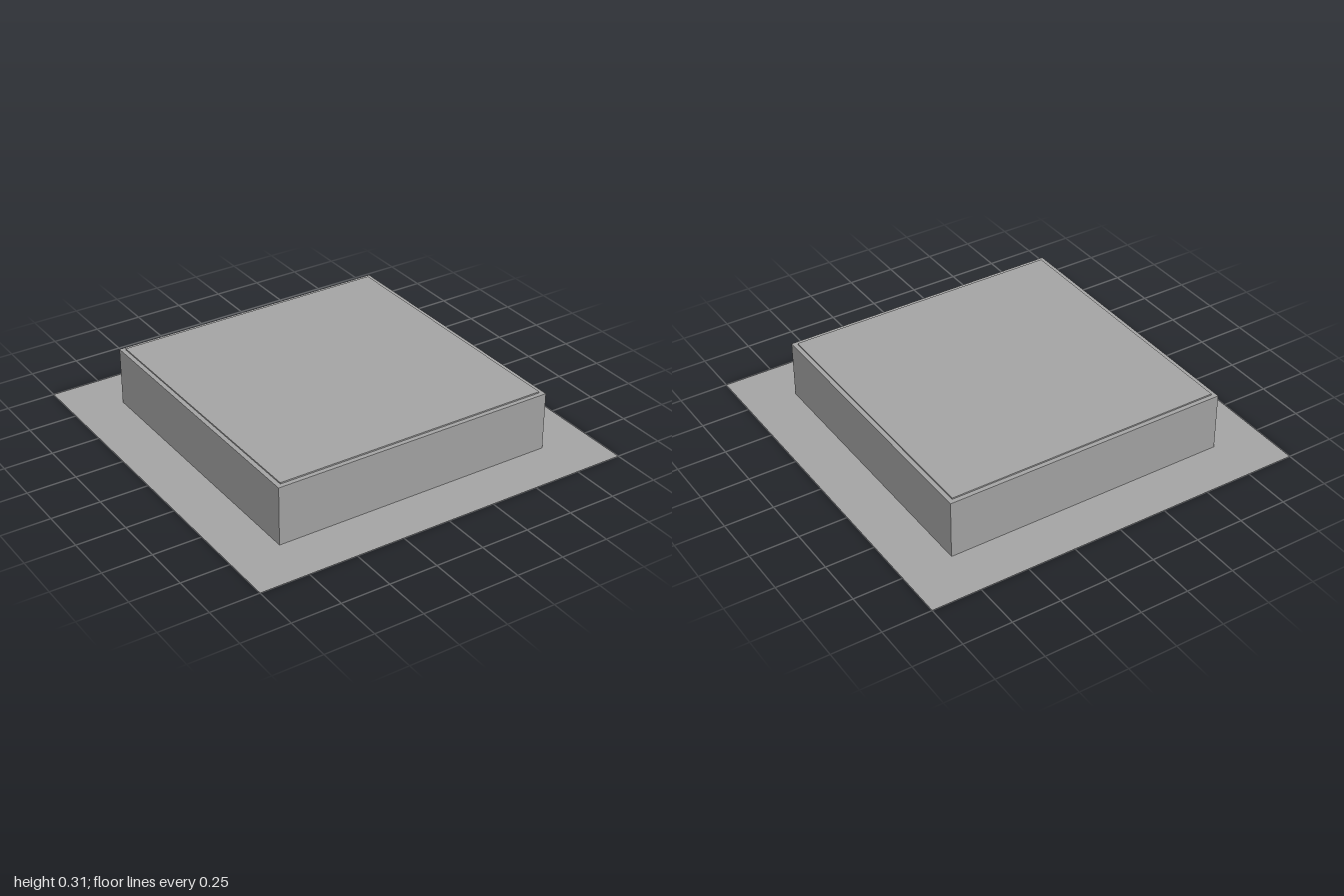
import * as THREE from 'three';

const OUTER = 0.743; // half width of the curb
const INNER = 0.70;  // half width of the opening
const WALL_TOP = 0.302;

// Square frame outline lying in XY, with a square hole
function frameShape(outer, inner) {
  const square = (path, h) => {
    path.moveTo(-h, -h);
    path.lineTo(h, -h);
    path.lineTo(h, h);
    path.lineTo(-h, h);
    path.closePath();
    return path;
  };
  const shape = square(new THREE.Shape(), outer);
  shape.holes.push(square(new THREE.Path(), inner));
  return shape;
}

export function createModel() {
  const group = new THREE.Group();
  const grey = new THREE.MeshStandardMaterial({ color: 0xa4a4a4, side: THREE.DoubleSide });
  grey.name = 'plain grey';

  const add = (name, geometry, x = 0, y = 0, z = 0) => {
    const mesh = new THREE.Mesh(geometry, grey);
    mesh.name = name;
    mesh.position.set(x, y, z);
    group.add(mesh);
    return mesh;
  };

  // Thin flat flange around the opening
  add('flange', new THREE.ShapeGeometry(frameShape(1, INNER)).rotateX(-Math.PI / 2));

  // Upright curb walls
  add('curbWalls', new THREE.ExtrudeGeometry(frameShape(OUTER, INNER), {
    depth: WALL_TOP, bevelEnabled: false,
  }).rotateX(-Math.PI / 2));

  // Slightly raised cover panel
  add('coverPanel', new THREE.BoxGeometry(1.44, 0.014, 1.44), 0, 0.302, 0);

  // Three support bars under the cover, running front to back
  for (const x of [-0.345, 0, 0.345]) {
    add('supportBar', new THREE.BoxGeometry(0.05, 0.075, INNER * 2), x, 0.26, 0);
  }

  return group;
}
